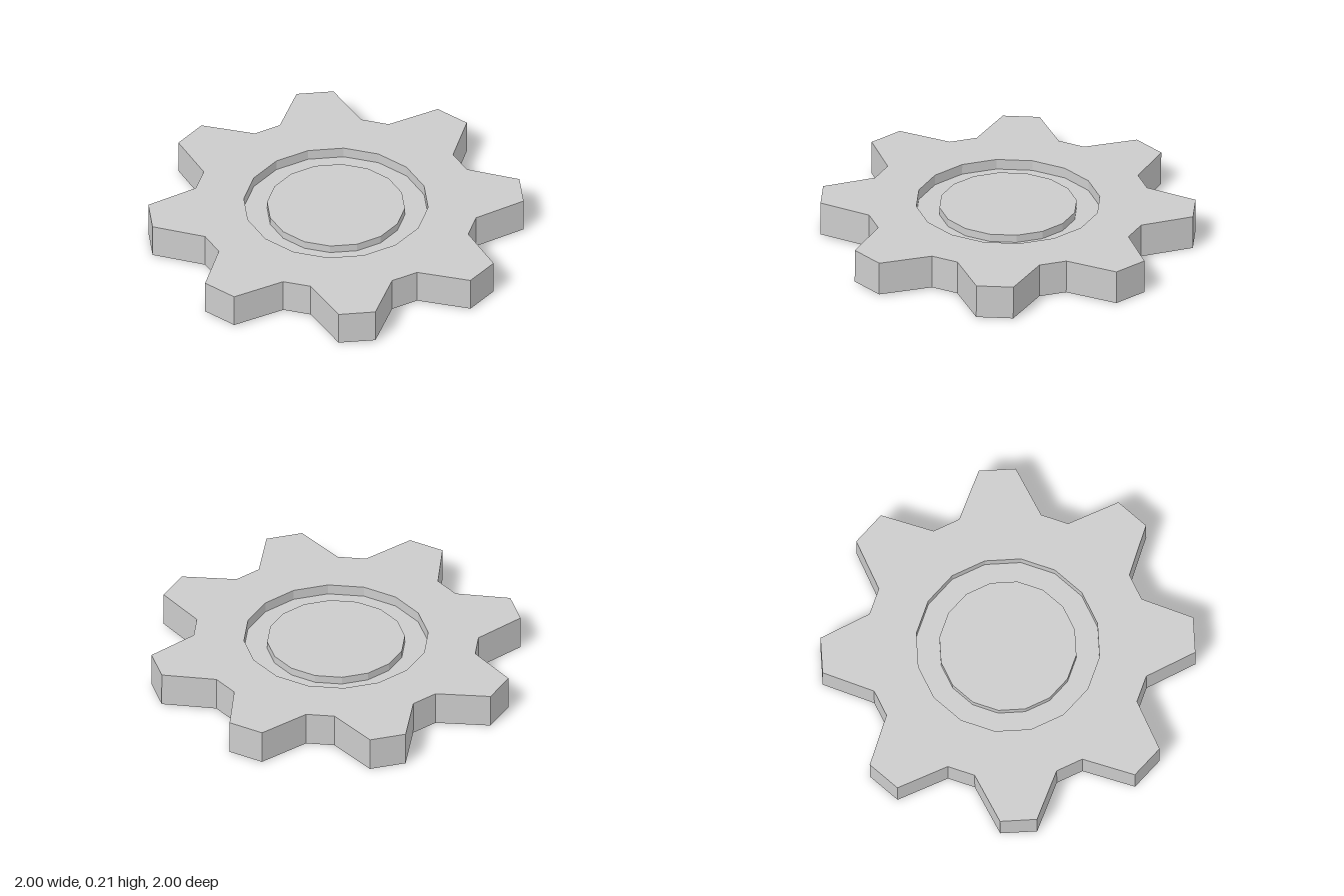
import * as THREE from 'three';

const TEETH = 8, SIDES = 16;
const THICK = 0.195, FLOOR = 0.135, HUB_TOP = 0.18;
const TIP_R = 1.045, ROOT_R = 0.793, GROOVE_R = 0.515, HUB_R = 0.385;
const HALF_TIP = 0.099, HALF_ROOT = 0.1;

const polar = (r, a) => new THREE.Vector2(r * Math.cos(a), r * Math.sin(a));

export function createModel() {
  const group = new THREE.Group();
  group.name = 'gear';
  const material = new THREE.MeshStandardMaterial({ color: 0xcccccc, flatShading: true });

  // Toothed outline: a short flat root, then a short flat tip, per tooth
  const outline = [];
  const step = (Math.PI * 2) / TEETH;
  for (let i = 0; i < TEETH; i++) {
    const root = i * step, tip = root + step / 2;
    outline.push(
      polar(ROOT_R, root - HALF_ROOT), polar(ROOT_R, root + HALF_ROOT),
      polar(TIP_R, tip - HALF_TIP), polar(TIP_R, tip + HALF_TIP));
  }
  const shape = new THREE.Shape(outline);

  // Sixteen-sided opening for the recessed centre
  const hole = [];
  for (let i = 0; i < SIDES; i++) {
    hole.push(polar(GROOVE_R, -((i + 0.5) * Math.PI * 2) / SIDES));
  }
  shape.holes.push(new THREE.Path(hole));

  const ringGeometry = new THREE.ExtrudeGeometry(shape, { depth: THICK, bevelEnabled: false });
  ringGeometry.rotateX(-Math.PI / 2);
  const ring = new THREE.Mesh(ringGeometry, material);
  ring.name = 'toothedRing';

  // Groove floor and raised centre disc
  const profile = [
    [0, 0], [GROOVE_R, 0], [GROOVE_R, FLOOR], [HUB_R, FLOOR], [HUB_R, HUB_TOP], [0, HUB_TOP],
  ].map(([x, y]) => new THREE.Vector2(x, y));
  const hub = new THREE.Mesh(new THREE.LatheGeometry(profile, SIDES, Math.PI / SIDES), material);
  hub.name = 'centreDisc';

  // The gear lies very slightly tilted, its front edge a little higher
  group.add(ring, hub);
  group.rotation.x = -0.005;
  group.position.y = 0.005;
  return group;
}
